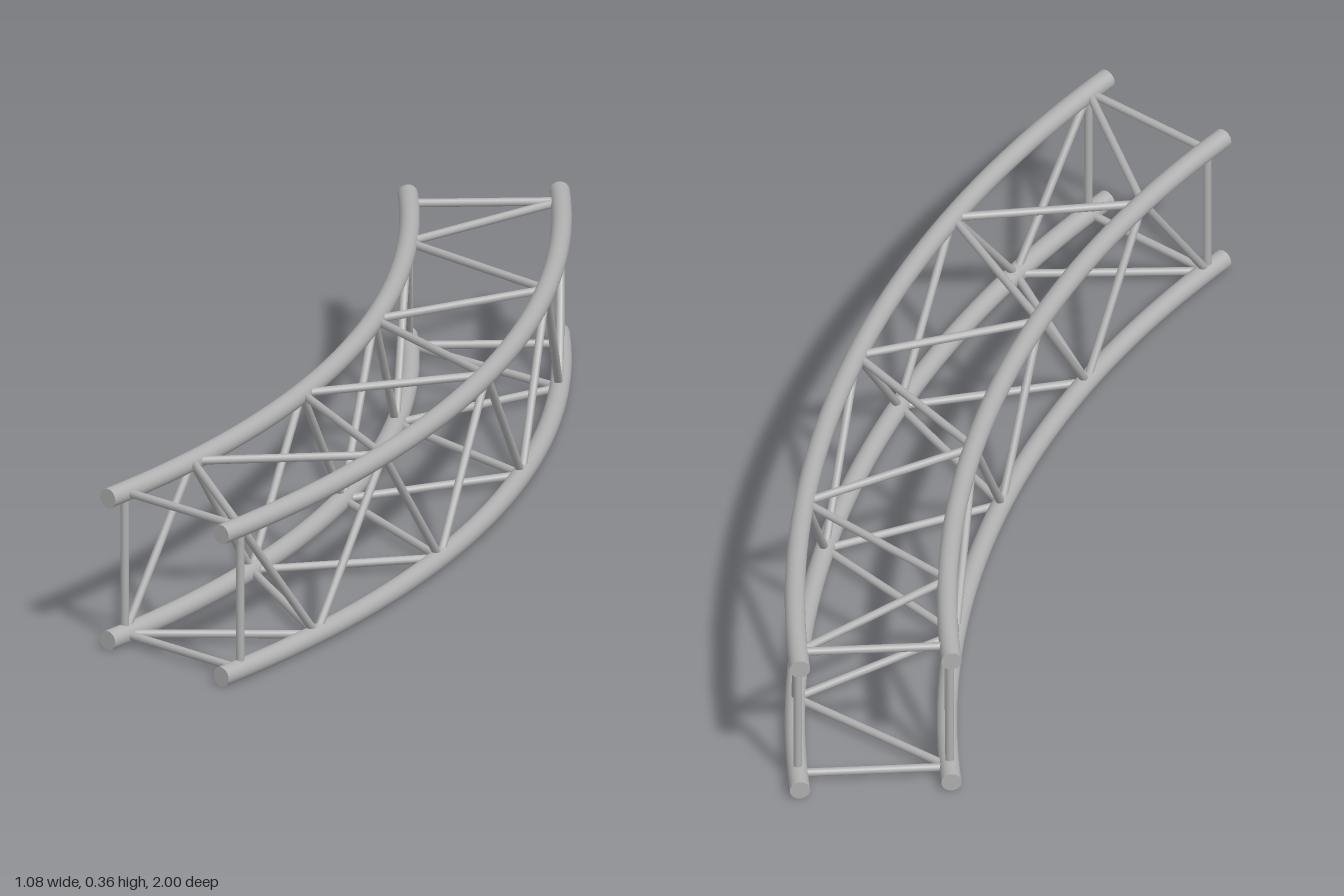
import * as THREE from 'three';

const ARC = Math.PI / 4;                 // sweep of the curved truss
const INNER = 2.486, OUTER = 2.806;      // chord radii
const LOW = 0.023, HIGH = 0.343;         // chord heights
const CENTRE_X = -2.286, CENTRE_Z = 1;   // centre of curvature
const CHORD_R = 0.0215, BRACE_R = 0.009;
const BAYS = 8;
const INSET = THREE.MathUtils.degToRad(1.25);

export function createModel() {
  const truss = new THREE.Group();
  truss.name = 'curvedTruss';
  const metal = new THREE.MeshStandardMaterial({ color: 0xb0b0b0 });
  metal.name = 'aluminium';

  const pointAt = (radius, y, angle) => new THREE.Vector3(
    CENTRE_X + radius * Math.cos(angle), y, CENTRE_Z - radius * Math.sin(angle));

  const add = (parent, geometry, name) => {
    const mesh = new THREE.Mesh(geometry, metal);
    mesh.name = name;
    parent.add(mesh);
    return mesh;
  };

  // Main tube bent along the arc, closed with a disc at each end
  const chord = (radius, y, name) => {
    const group = new THREE.Group();
    group.name = name;
    const tube = new THREE.TorusGeometry(radius, CHORD_R, 20, 48, ARC);
    tube.rotateX(-Math.PI / 2);
    add(group, tube, 'chordTube').position.set(CENTRE_X, y, CENTRE_Z);
    for (const [angle, turn] of [[0, 0], [ARC, Math.PI + ARC]]) {
      const cap = add(group, new THREE.CircleGeometry(CHORD_R, 20), 'chordEndCap');
      cap.position.copy(pointAt(radius, y, angle));
      cap.rotation.y = turn;
    }
    truss.add(group);
  };

  // Straight thin bar between two points
  const bar = (parent, a, b, name) => {
    const dir = b.clone().sub(a);
    const geometry = new THREE.CylinderGeometry(BRACE_R, BRACE_R, dir.length(), 12, 1, true);
    const mesh = add(parent, geometry, name);
    mesh.position.copy(a).add(b).multiplyScalar(0.5);
    mesh.quaternion.setFromUnitVectors(new THREE.Vector3(0, 1, 0), dir.normalize());
  };

  const corners = {
    innerLower: [INNER, LOW], outerLower: [OUTER, LOW],
    outerUpper: [OUTER, HIGH], innerUpper: [INNER, HIGH],
  };
  for (const [name, [radius, y]] of Object.entries(corners)) chord(radius, y, name + 'Chord');

  // Zigzag lacing on each face: even nodes on the first chord, odd on the second
  const nodeAngle = i => INSET + (ARC - 2 * INSET) * i / BAYS;
  const lacing = (even, odd, name) => {
    const group = new THREE.Group();
    group.name = name;
    const node = i => pointAt(...corners[i % 2 ? odd : even], nodeAngle(i));
    for (let i = 0; i < BAYS; i++) bar(group, node(i), node(i + 1), 'diagonalBrace');
    truss.add(group);
  };
  lacing('outerUpper', 'innerUpper', 'topLacing');
  lacing('innerLower', 'outerLower', 'bottomLacing');
  lacing('outerUpper', 'outerLower', 'outerLacing');
  lacing('innerLower', 'innerUpper', 'innerLacing');

  // Square frame near each end
  const ring = Object.values(corners);
  for (const [i, name] of [[0, 'frontEndFrame'], [BAYS, 'backEndFrame']]) {
    const group = new THREE.Group();
    group.name = name;
    ring.forEach((corner, k) => bar(group, pointAt(...corner, nodeAngle(i)),
      pointAt(...ring[(k + 1) % 4], nodeAngle(i)), 'endBar'));
    truss.add(group);
  }
  return truss;
}
